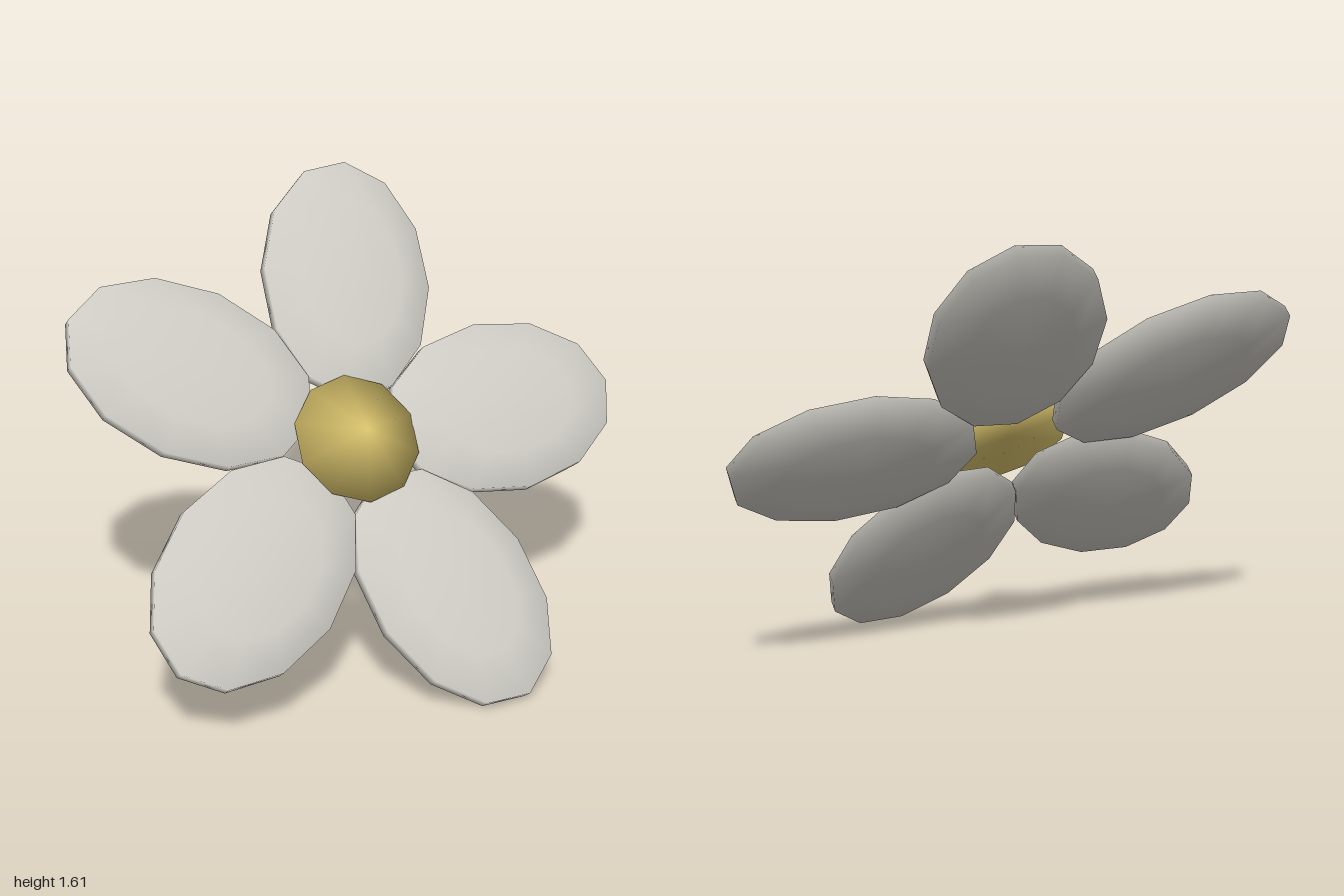
import * as THREE from 'three';
import { mergeVertices } from 'three/addons/utils/BufferGeometryUtils.js';

const PETALS = 5;

export function createModel() {
  const petalMat = new THREE.MeshStandardMaterial({ color: 0xcbc9c2 });
  petalMat.name = 'pale grey petal';
  const centreMat = new THREE.MeshStandardMaterial({ color: 0xd8c26c });
  centreMat.name = 'soft yellow centre';

  const model = new THREE.Group();
  model.name = 'flower';

  // Blossom frame: local z is the direction the flower faces
  const blossom = new THREE.Group();
  blossom.name = 'blossom';
  const n = new THREE.Vector3(0.139, 0.639, 0.757).normalize();
  const e1 = new THREE.Vector3(1, 0, 0).addScaledVector(n, -n.x).normalize();
  const e2 = new THREE.Vector3().crossVectors(n, e1);
  blossom.quaternion.setFromRotationMatrix(new THREE.Matrix4().makeBasis(e1, e2, n));
  blossom.position.set(-0.06, 0.8, 0.06);
  model.add(blossom);

  // Petals: flattened low-poly ellipsoids, poles on the front and back
  const petalGeo = new THREE.SphereGeometry(1, 12, 5);
  petalGeo.rotateX(Math.PI / 2);
  petalGeo.scale(0.484, 0.335, 0.075);
  petalGeo.translate(0.62, 0, 0);
  for (let i = 0; i < PETALS; i++) {
    const petal = new THREE.Mesh(petalGeo, petalMat);
    petal.name = 'petal' + (i + 1);
    petal.rotation.z = THREE.MathUtils.degToRad(7.5) + (i * Math.PI * 2) / PETALS;
    blossom.add(petal);
  }

  // Centre: a low ten-sided cone, smoothed across its rim
  const cone = new THREE.ConeGeometry(0.236, 0.105, 10, 1);
  cone.rotateX(Math.PI / 2);
  cone.deleteAttribute('uv');
  cone.deleteAttribute('normal');
  const centreGeo = mergeVertices(cone, 1e-4);
  centreGeo.computeVertexNormals();
  const centre = new THREE.Mesh(centreGeo, centreMat);
  centre.name = 'flowerCentre';
  centre.position.set(0.01, 0, 0.09);
  blossom.add(centre);

  return model;
}
